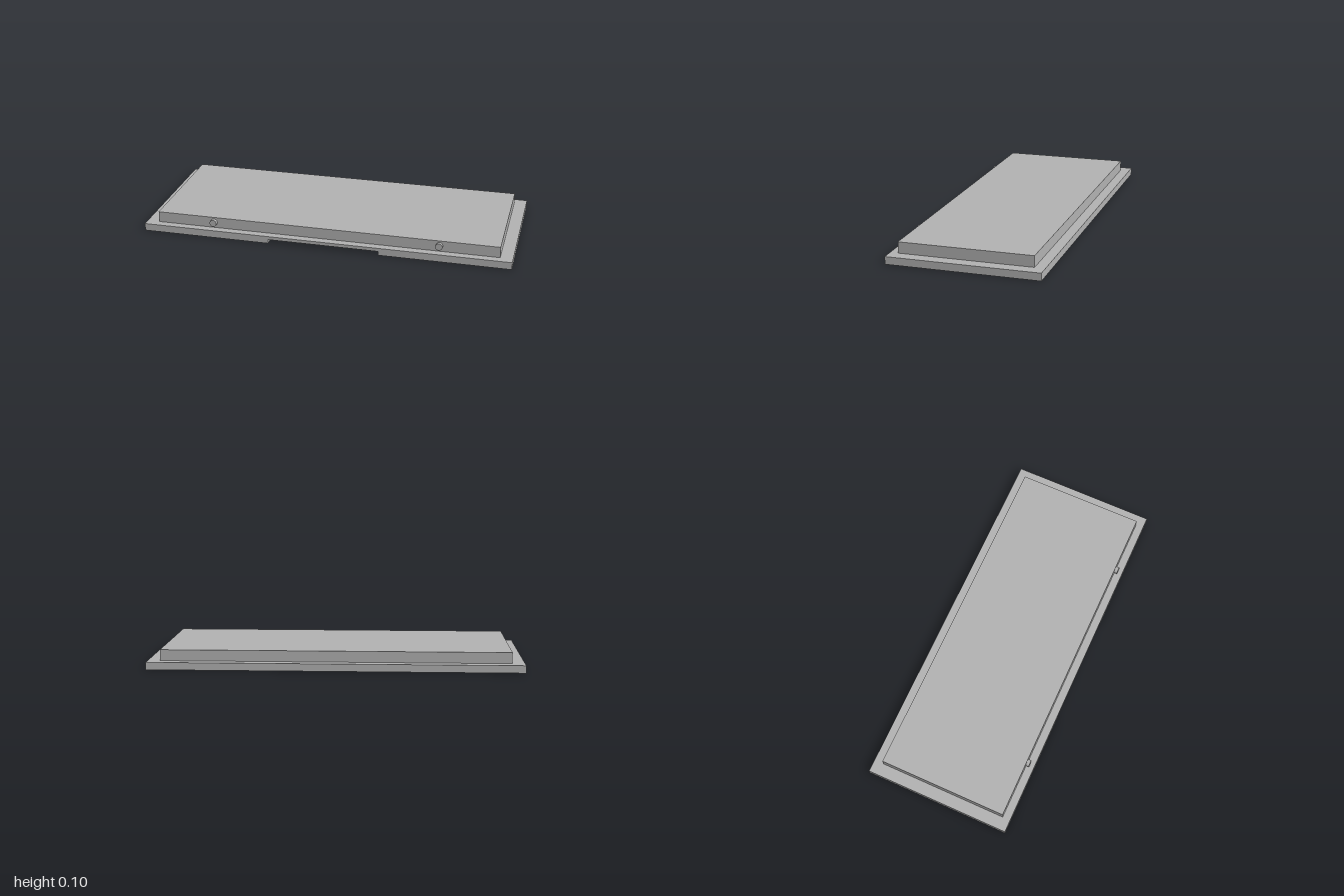
import * as THREE from 'three';

export function createModel() {
  const model = new THREE.Group();
  const grey = new THREE.MeshStandardMaterial({ color: 0xb3b3b3 });
  grey.name = 'plain grey';

  const add = (name, geometry, x, y, z) => {
    const mesh = new THREE.Mesh(geometry, grey);
    mesh.name = name;
    mesh.position.set(x, y, z);
    model.add(mesh);
    return mesh;
  };

  // Outline from above (shape y becomes -z) pushed upward from y = 0
  const slab = (points, height) => {
    const shape = new THREE.Shape(points.map(([x, z]) => new THREE.Vector2(x, -z)));
    return new THREE.ExtrudeGeometry(shape, { depth: height, bevelEnabled: false }).rotateX(-Math.PI / 2);
  };

  // Base plate: lower layer has a shallow finger recess open at the front
  const recess = 0.022, baseTop = 0.04;
  add('basePlateLower', slab([
    [-1, 0.4], [-0.3, 0.4], [-0.3, 0.2], [0.3, 0.2], [0.3, 0.4], [1, 0.4], [1, -0.4], [-1, -0.4],
  ], recess), 0, 0, 0);
  add('basePlateUpper', new THREE.BoxGeometry(2, baseTop - recess, 0.8), 0, (baseTop + recess) / 2, 0);

  // Raised slab, set slightly forward
  const top = 0.099, front = 0.357, back = -0.346;
  add('raisedSlab', new THREE.BoxGeometry(1.866, top - baseTop, front - back),
    0, (top + baseTop) / 2, (front + back) / 2);

  // Pair of round pegs on the front of the raised slab
  for (const side of [-1, 1]) {
    const peg = add(side > 0 ? 'leftPeg' : 'rightPeg',
      new THREE.CylinderGeometry(0.019, 0.019, 0.018, 32), side * 0.616, 0.071, front + 0.009);
    peg.rotation.x = Math.PI / 2;
  }
  return model;
}
